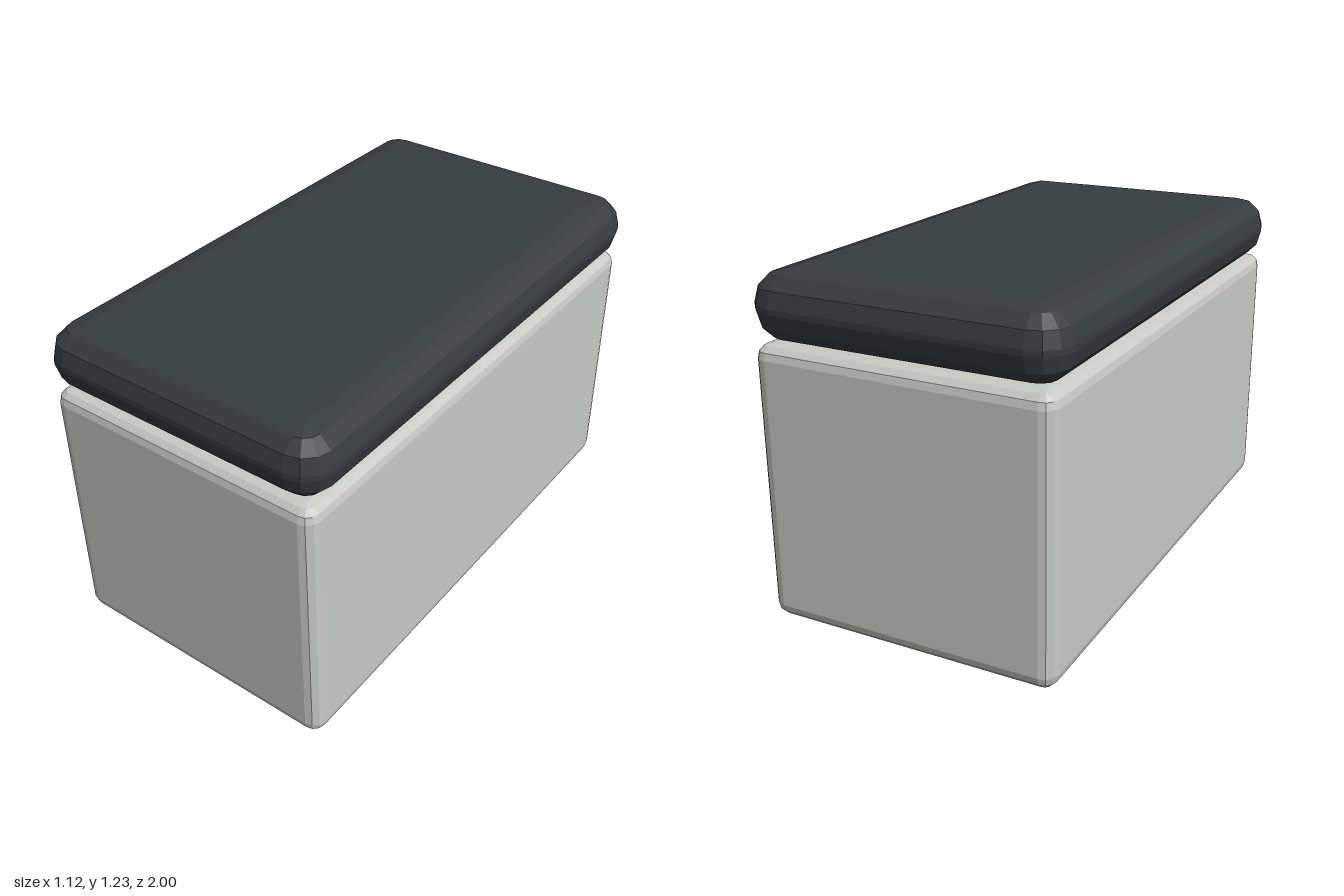
import * as THREE from 'three';

// Box with every edge bevelled in three 30 degree steps, standing on y = bottom.
// A sphere's vertices are split into eight corner patches and pushed apart.
function bevelledBox(width, height, depth, radius, bottom) {
  const geometry = new THREE.SphereGeometry(1, 16, 9);
  const position = geometry.attributes.position;
  const ix = width / 2 - radius, iy = height / 2 - radius, iz = depth / 2 - radius;
  const step = Math.PI / 6;
  for (let j = 0; j <= 9; j++) {
    const upper = j < 5;
    const theta = step * (upper ? Math.max(j - 1, 0) : Math.min(j - 2, 6));
    const y = (upper ? iy : -iy) + radius * Math.cos(theta) + bottom + height / 2;
    for (let i = 0; i <= 16; i++) {
      const corner = Math.floor(i / 4) % 4;
      const phi = corner * Math.PI / 2 + (i % 4) * step;
      const middle = (corner + 0.5) * Math.PI / 2;
      const r = radius * Math.sin(theta);
      const spread = j === 0 || j === 9 ? 0 : 1; // cap centres
      position.setXYZ(
        j * 17 + i,
        spread * (-Math.sign(Math.cos(middle)) * ix - Math.cos(phi) * r),
        y,
        spread * (Math.sign(Math.sin(middle)) * iz + Math.sin(phi) * r)
      );
    }
  }
  geometry.computeVertexNormals();
  return geometry;
}

function part(name, geometry, color) {
  const mesh = new THREE.Mesh(geometry, new THREE.MeshStandardMaterial({ color, flatShading: true }));
  mesh.name = name;
  return mesh;
}

export function createModel() {
  const group = new THREE.Group();
  group.name = 'cushionedBox';
  // Pale body block
  group.add(part('body', bevelledBox(1.085, 0.99, 1.98, 0.05, 0), 0xc8cac4));
  // Dark padded cushion on top
  group.add(part('cushion', bevelledBox(1.125, 0.24, 2, 0.11, 0.99), 0x373c3f));
  return group;
}
